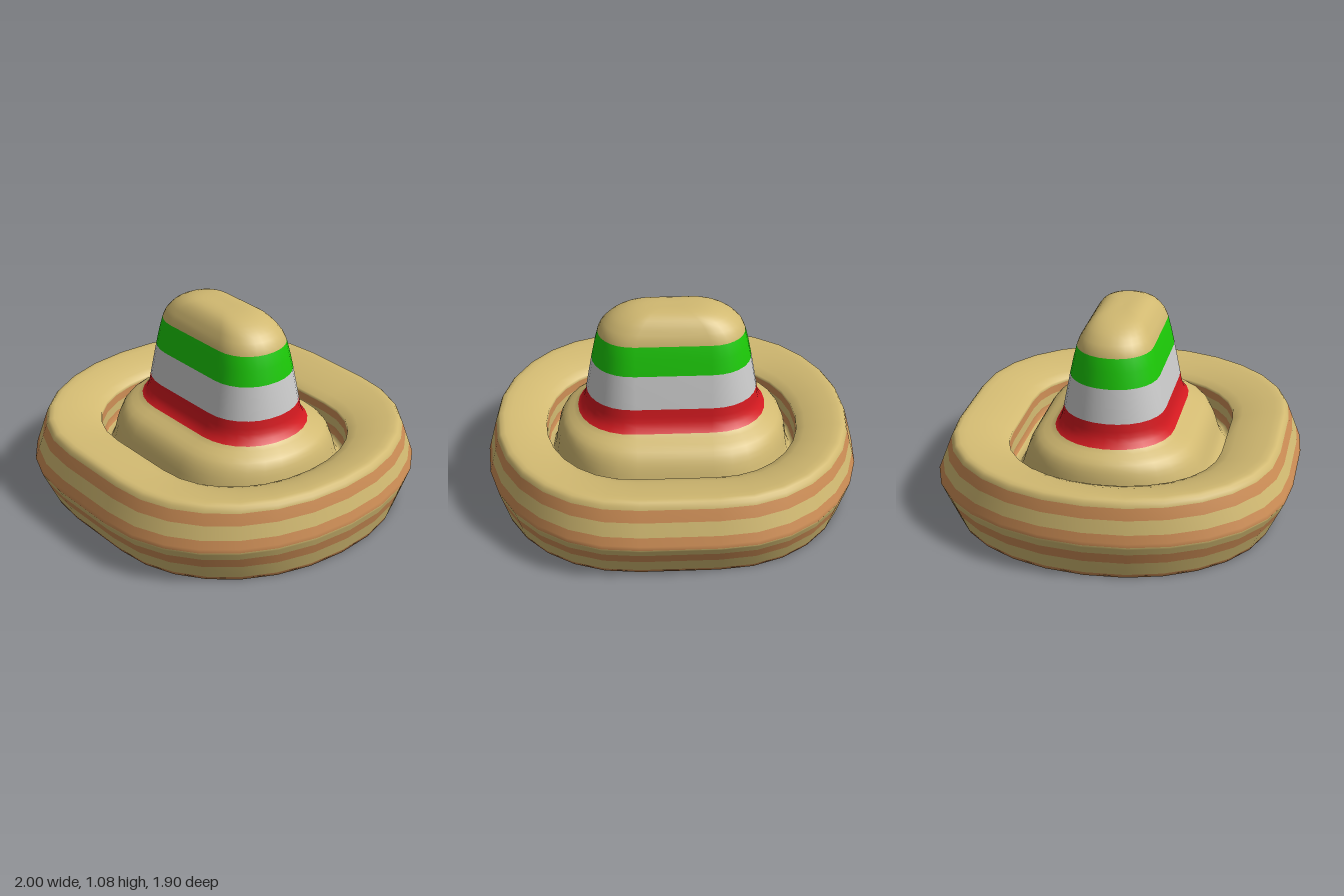
import * as THREE from 'three';

const TAN = 0xd1b971, BROWN = 0xcc8d55, RED = 0xd2191f, WHITE = 0xcccccc, GREEN = 0x1cc908;
const QUARTER = 7; // segments per quarter of a ring
const SIDES = 4 * QUARTER + 2;

// Profile curve through points [half width x, y, half depth z]; tension 0 keeps it straight
const profile = (tension, points) => new THREE.CatmullRomCurve3(
  points.map((p) => new THREE.Vector3(...p)), false, 'catmullrom', tension);

const crown = profile(0.5, [[0, 1.077, 0], [0.14, 1.077, 0.06], [0.23, 1.064, 0.11], [0.305, 1.033, 0.147],
  [0.357, 0.99, 0.175], [0.39, 0.935, 0.2], [0.425, 0.78, 0.235], [0.457, 0.6, 0.27], [0.471, 0.53, 0.285],
  [0.505, 0.48, 0.318], [0.58, 0.43, 0.41], [0.613, 0.36, 0.46], [0.632, 0.25, 0.497], [0.652, 0.2, 0.53]]);
const innerWall = profile(0, [[0.652, 0.2, 0.53], [0.674, 0.21, 0.56], [0.68, 0.372, 0.57]]);
const brimTop = profile(0.5, [[0.68, 0.372, 0.57], [0.77, 0.41, 0.68], [0.87, 0.433, 0.8],
  [0.93, 0.432, 0.855], [0.95, 0.4, 0.877]]);
const brimSide = profile(0, [[0.95, 0.4, 0.877], [1, 0.21, 0.952], [0.94, 0, 0.855]]);
const underside = profile(0, [[0.94, 0, 0.855], [0.86, 0.04, 0.765], [0.735, 0.09, 0.62], [0.56, 0.155, 0.44],
  [0.45, 0.175, 0.33], [0.3, 0.185, 0.2], [0, 0.187, 0]]);

// Colour bands along each profile: name, colour, ring count, height where it ends (none: end of profile)
const sections = [
  [crown, [['crownTop', TAN, 10, 0.935], ['greenBand', GREEN, 2, 0.78], ['whiteBand', WHITE, 2, 0.6],
    ['redBand', RED, 4, 0.48], ['crownBase', TAN, 12]]],
  [innerWall, [['gutter', TAN, 1, 0.21], ['innerWallLowerStripe', BROWN, 1, 0.26],
    ['innerWallMiddle', TAN, 1, 0.31], ['innerWallUpperStripe', BROWN, 1, 0.355], ['innerWallTop', TAN, 1]]],
  [brimTop, [['brimTop', TAN, 8]]],
  [brimSide, [['brimUpperStripe', BROWN, 1, 0.34], ['brimUpperTan', TAN, 1, 0.27],
    ['brimMiddleStripe', BROWN, 2, 0.21], ['brimMiddleTan', TAN, 2, 0.16], ['brimLowerStripe', BROWN, 1, 0.1],
    ['brimLowerTan', TAN, 1, 0.02], ['brimEdge', BROWN, 1]]],
  [underside, [['undersideRim', TAN, 2, 0.09], ['undersideOuterStripe', BROWN, 1, 0.115],
    ['undersideMiddle', TAN, 1, 0.135], ['undersideInnerStripe', BROWN, 1, 0.155], ['undersideCentre', TAN, 3]]],
];

// Curve parameter at a given height, by halving
function paramAtHeight(curve, y) {
  const rising = curve.getPoint(1).y > curve.getPoint(0).y;
  let low = 0, high = 1;
  for (let i = 0; i < 30; i++) {
    const mid = (low + high) / 2;
    if ((curve.getPoint(mid).y < y) === rising) low = mid;
    else high = mid;
  }
  return high;
}

// Ring made of two half ovals joined by straight front and back edges
const bend = (v) => Math.sign(v) * Math.pow(Math.abs(v), 2 / 2.1);
const ring = ({ x, y, z }) => {
  const straight = Math.min(0.2, x / 2);
  return [1, -1].flatMap((side) => Array.from({ length: 2 * QUARTER + 1 }, (_, j) => {
    const a = (j / QUARTER - 1) * Math.PI / 2;
    return [side * (straight + (x - straight) * bend(Math.cos(a))), y, side * z * bend(Math.sin(a))];
  })).flat();
};

// Skin neighbouring rings
function skinIndex(rows) {
  const index = [];
  for (let i = 0; i < rows - 1; i++) {
    for (let j = 0; j < SIDES; j++) {
      const a = i * SIDES + j, c = i * SIDES + (j + 1) % SIDES;
      const b = a + SIDES, d = c + SIDES;
      index.push(a, c, b, c, d, b);
    }
  }
  return index;
}

export function createModel() {
  const group = new THREE.Group();
  group.name = 'wideBrimHat';

  // Rings from the crown top, through the gutter, over the brim and under it
  const rings = [crown.getPoint(0)];
  const bands = [];
  for (const [curve, parts] of sections) {
    let from = 0;
    for (const [name, color, steps, endHeight] of parts) {
      const to = endHeight === undefined ? 1 : paramAtHeight(curve, endHeight);
      bands.push({ name, color, start: rings.length - 1, rows: steps + 1 });
      for (let s = 1; s <= steps; s++) rings.push(curve.getPoint(from + (to - from) * s / steps));
      from = to;
    }
  }

  // Whole skin first, so the normals stay smooth across the colour bands
  const skin = new THREE.BufferGeometry();
  skin.setAttribute('position', new THREE.Float32BufferAttribute(rings.flatMap(ring), 3));
  skin.setIndex(skinIndex(rings.length));
  skin.computeVertexNormals();

  // Cut the skin into its colour bands
  for (const { name, color, start, rows } of bands) {
    const geometry = new THREE.BufferGeometry();
    for (const key of ['position', 'normal']) {
      const part = skin.attributes[key].array.slice(start * SIDES * 3, (start + rows) * SIDES * 3);
      geometry.setAttribute(key, new THREE.BufferAttribute(part, 3));
    }
    geometry.setIndex(skinIndex(rows));
    const mesh = new THREE.Mesh(geometry, new THREE.MeshStandardMaterial({ color }));
    mesh.name = name;
    group.add(mesh);
  }
  return group;
}
